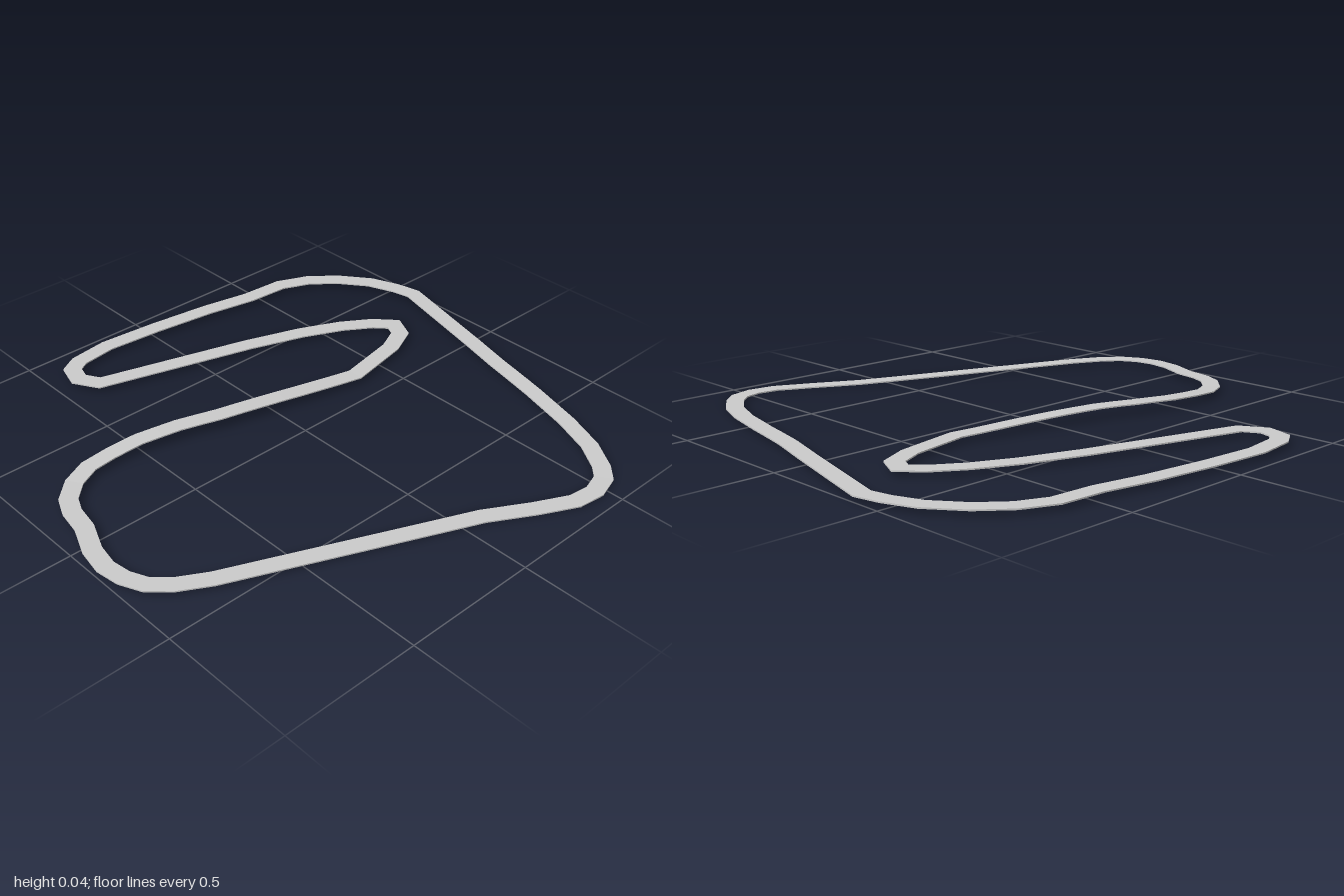
import * as THREE from 'three';

const WIDTH = 0.064, THICK = 0.005;

// Centre line of the circuit as x, z pairs, clockwise seen from above
const BACK_STRAIGHT = [-0.394, -0.97, 0.02, -0.862, 0.19, -0.815, 0.4, -0.767, 0.6, -0.714];
const RIGHT_BEND = [0.743, -0.66, 0.844, -0.593, 0.89, -0.545, 0.913, -0.466, 0.902, -0.376,
  0.839, -0.249, 0.749, -0.09];
const FRONT_BEND = [0.4, 0.751, 0.341, 0.857, 0.283, 0.92, 0.214, 0.952, 0.135, 0.963,
  0.045, 0.947, -0.066, 0.9, -0.156, 0.884, -0.22, 0.855, -0.283, 0.788, -0.32, 0.704];
const BRIDGE = [-0.325, 0.608, -0.32, 0.492, -0.288, 0.344, -0.24, 0.196, -0.204, 0.037,
  -0.167, -0.132, -0.12, -0.365];
const INNER_HAIRPIN = [-0.167, -0.603, -0.214, -0.704, -0.278, -0.735, -0.341, -0.677,
  -0.41, -0.571, -0.479, -0.423, -0.553, -0.212, -0.622, 0.026];
const LEFT_HAIRPIN = [-0.722, 0.37, -0.796, 0.413, -0.868, 0.392, -0.899, 0.339,
  -0.918, 0.196, -0.9, -0.026, -0.87, -0.265, -0.833, -0.455];
const BACK_BEND = [-0.823, -0.619, -0.775, -0.73, -0.696, -0.825, -0.585, -0.91, -0.479, -0.952];

// Height of the road surface: a low crest on the middle strand, a dip on the right
function height(x, z) {
  let y = 0.022 - 0.017 * THREE.MathUtils.smoothstep(x, 0.15, 0.92);
  if (x > -0.4 && x < 0 && z > -0.365 && z < 0.8) {
    y += 0.02 * Math.pow(Math.sin(Math.PI * (z + 0.365) / 1.165), 1.3);
  }
  return y;
}

// Control points, with long spans divided so the height can vary along them
function centreLine() {
  const flat = [BACK_STRAIGHT, RIGHT_BEND, FRONT_BEND, BRIDGE, INNER_HAIRPIN, LEFT_HAIRPIN, BACK_BEND].flat();
  const corners = [];
  for (let i = 0; i < flat.length; i += 2) corners.push(new THREE.Vector2(flat[i], flat[i + 1]));
  const points = [];
  corners.forEach((a, i) => {
    const b = corners[(i + 1) % corners.length];
    const steps = Math.ceil(a.distanceTo(b) / 0.1);
    for (let s = 0; s < steps; s++) points.push(a.clone().lerp(b, s / steps));
  });
  return points;
}

// Closed thin slab swept along the centre line with mitred joints
function trackGeometry() {
  const points = centreLine(), n = points.length;
  const positions = [], index = [];
  points.forEach((p, i) => {
    const d0 = p.clone().sub(points[(i + n - 1) % n]).normalize();
    const d1 = points[(i + 1) % n].clone().sub(p).normalize();
    const t = d0.clone().add(d1).normalize();
    const half = WIDTH / 2 / Math.max(0.7, t.dot(d1));
    const y = height(p.x, p.y);
    // section order: outer top, inner top, inner bottom, outer bottom
    for (const [side, drop] of [[1, 0], [-1, 0], [-1, THICK], [1, THICK]]) {
      positions.push(p.x + t.y * half * side, y - drop, p.y - t.x * half * side);
    }
  });
  for (let i = 0; i < n; i++) {
    const j = (i + 1) % n;
    for (let k = 0; k < 4; k++) {
      const l = (k + 1) % 4;
      const a = i * 4 + k, b = i * 4 + l, c = j * 4 + l, d = j * 4 + k;
      index.push(a, b, c, a, c, d);
    }
  }
  const geometry = new THREE.BufferGeometry();
  geometry.setAttribute('position', new THREE.Float32BufferAttribute(positions, 3));
  geometry.setIndex(index);
  const faceted = geometry.toNonIndexed();
  faceted.computeVertexNormals();
  return faceted;
}

export function createModel() {
  const group = new THREE.Group();
  group.name = 'raceCircuit';
  const material = new THREE.MeshStandardMaterial({ color: 0xcccccc, flatShading: true, side: THREE.DoubleSide });
  const track = new THREE.Mesh(trackGeometry(), material);
  track.name = 'trackSurface';
  group.add(track);
  return group;
}
